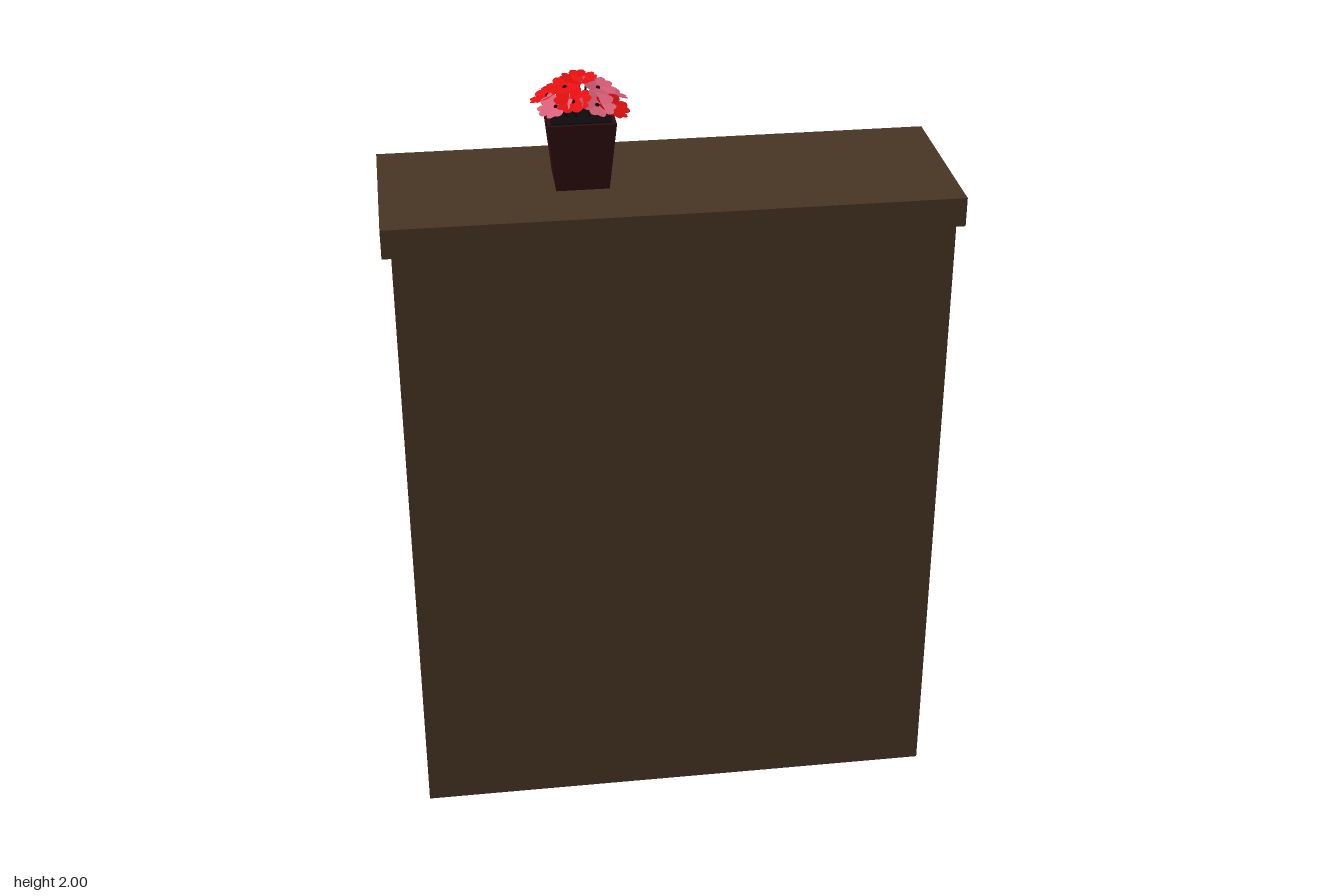
import * as THREE from 'three';

const paint = (name, color, side = THREE.FrontSide) => {
  const m = new THREE.MeshStandardMaterial({ color, side });
  m.name = name;
  return m;
};

export function createModel() {
  const model = new THREE.Group();
  model.name = 'bookcase';
  const wood = paint('dark wood', 0x483625);
  const potPaint = paint('maroon pot', 0x2f0b10);
  const dark = paint('near black', 0x0d0b0c);
  const red = paint('red petals', 0xe81010, THREE.DoubleSide);
  const pink = paint('pink petals', 0xdc607a, THREE.DoubleSide);
  const gold = paint('gold cover', 0x735625);
  const blue = paint('blue cover', 0x284280);
  const burgundy = paint('burgundy cover', 0x742529);
  const teal = paint('teal cover', 0x226c5b);
  const paper = paint('pages', 0xd8d8d6);

  // Box given by its limits on each axis
  const box = (parent, name, mat, [x0, x1], [y0, y1], [z0, z1]) => {
    const mesh = new THREE.Mesh(new THREE.BoxGeometry(x1 - x0, y1 - y0, z1 - z0), mat);
    mesh.position.set((x0 + x1) / 2, (y0 + y1) / 2, (z0 + z1) / 2);
    mesh.name = name;
    parent.add(mesh);
    return mesh;
  };

  // Case: plain panel at +z, open shelves towards -z
  box(model, 'topBoard', wood, [-0.713, 0.713], [1.65, 1.725], [-0.237, 0.237]);
  box(model, 'backPanel', wood, [-0.69, 0.69], [0, 1.65], [0.157, 0.235]);
  for (const s of [-1, 1]) {
    const wall = box(model, 'sideWall', wood, [0.61, 0.68], [0, 1.65], [-0.187, 0.157]);
    wall.position.x *= s;
  }
  box(model, 'lowerPanel', wood, [-0.61, 0.61], [0, 0.52], [-0.147, -0.1]);
  const shelfTops = [0.565, 0.94, 1.315];
  for (const y of shelfTops) {
    box(model, 'shelf', wood, [-0.61, 0.61], [y - 0.045, y], [-0.15, 0.157]);
  }

  // Book with its spine at -z; origin at the +x bottom corner of the spine
  const book = (name, mat, w, h, banded = true, d = 0.22) => {
    const g = new THREE.Group();
    const c = 0.009;
    g.name = name;
    box(g, 'spine', mat, [-w, 0], [0, h], [0, c]);
    box(g, 'cover', mat, [-c, 0], [0, h], [c, d]);
    box(g, 'cover', mat, [-w, c - w], [0, h], [c, d]);
    box(g, 'pageBlock', paper, [c - w, -c], [0.006, h - 0.006], [c, d - 0.008]);
    if (banded) {
      box(g, 'spineBand', dark, [-w, 0], [h * 0.84, h * 0.84 + 0.008], [-0.002, 0]);
    }
    model.add(g);
    return g;
  };

  // Upright books: shelf, material, +x edge, thickness, height
  const upright = [
    [2, gold, 0.55, 0.07, 0.275],
    [2, burgundy, -0.30, 0.075, 0.265],
    [2, blue, -0.39, 0.085, 0.27],
    [2, gold, -0.495, 0.07, 0.265],
    [1, teal, 0.455, 0.125, 0.30],
    [1, burgundy, -0.247, 0.075, 0.285],
    [0, gold, 0.40, 0.073, 0.30],
    [0, blue, 0.297, 0.077, 0.29],
    [0, gold, -0.134, 0.068, 0.30],
  ];
  for (const [shelf, mat, x, w, h] of upright) {
    book('uprightBook', mat, w, h, mat !== teal).position.set(x, shelfTops[shelf], -0.142);
  }

  // Leaning and lying books
  const leaning = book('leaningBook', blue, 0.075, 0.28);
  leaning.position.set(0.36, shelfTops[2] + 0.03, -0.142);
  leaning.rotation.z = -0.41;
  const lying = book('lyingBook', teal, 0.075, 0.275, false);
  lying.rotation.set(0, 0.16, Math.PI / 2, 'YXZ');
  lying.position.set(0.23, shelfTops[1] + 0.075, -0.187);

  // Square tapered flower pot
  const plant = new THREE.Group();
  plant.name = 'pottedFlowers';
  plant.position.set(-0.212, 1.725, -0.005);
  model.add(plant);
  const pot = new THREE.Mesh(
    new THREE.CylinderGeometry(0.084 * Math.SQRT2, 0.066 * Math.SQRT2, 0.175, 4).toNonIndexed(), potPaint);
  pot.geometry.computeVertexNormals();
  pot.rotation.y = Math.PI / 4;
  pot.position.y = 0.0875;
  pot.name = 'pot';
  plant.add(pot);
  box(plant, 'soil', dark, [-0.074, 0.074], [0.17, 0.178], [-0.074, 0.074]);

  // Notched petal pointing along +y of its shape, then laid flat
  const outline = new THREE.Shape();
  outline.moveTo(0, 0);
  outline.bezierCurveTo(0.012, 0.008, 0.03, 0.032, 0.016, 0.044);
  outline.quadraticCurveTo(0.007, 0.048, 0, 0.041);
  outline.quadraticCurveTo(-0.007, 0.048, -0.016, 0.044);
  outline.bezierCurveTo(-0.03, 0.032, -0.012, 0.008, 0, 0);
  const petalGeo = new THREE.ShapeGeometry(outline, 5).rotateX(-Math.PI / 2 + 0.2);
  const eyeGeo = new THREE.SphereGeometry(0.006, 8, 6);

  // Blooms spread over a dome: material, x, z
  const blooms = [
    [red, 0, 0.005], [pink, -0.045, -0.055], [red, 0.065, -0.075], [red, 0.025, -0.05],
    [red, -0.075, -0.005], [pink, 0.078, -0.015], [pink, -0.06, 0.055], [red, -0.02, 0.065],
    [pink, 0.038, 0.068], [red, 0.075, 0.05], [pink, 0.045, 0.02], [red, -0.035, 0.02],
  ];
  const up = new THREE.Vector3(0, 1, 0);
  blooms.forEach(([mat, x, z], i) => {
    const r2 = x * x + z * z;
    const flower = new THREE.Group();
    flower.name = 'flower';
    flower.position.set(x, 0.262 - 7 * r2, z);
    flower.quaternion.setFromUnitVectors(up, new THREE.Vector3(x * 7, 1, z * 7).normalize());
    for (let k = 0; k < 5; k++) {
      const petal = new THREE.Mesh(petalGeo, mat);
      petal.rotation.y = k * Math.PI * 0.4 + i * 0.7;
      petal.name = 'petal';
      flower.add(petal);
    }
    const eye = new THREE.Mesh(eyeGeo, dark);
    eye.name = 'flowerEye';
    flower.add(eye);
    plant.add(flower);

    // Stem down to the soil
    const path = new THREE.LineCurve3(new THREE.Vector3(x * 0.4, 0.17, z * 0.4), flower.position.clone());
    const stem = new THREE.Mesh(new THREE.TubeGeometry(path, 1, 0.003, 5), dark);
    stem.name = 'stem';
    plant.add(stem);
  });

  return model;
}
